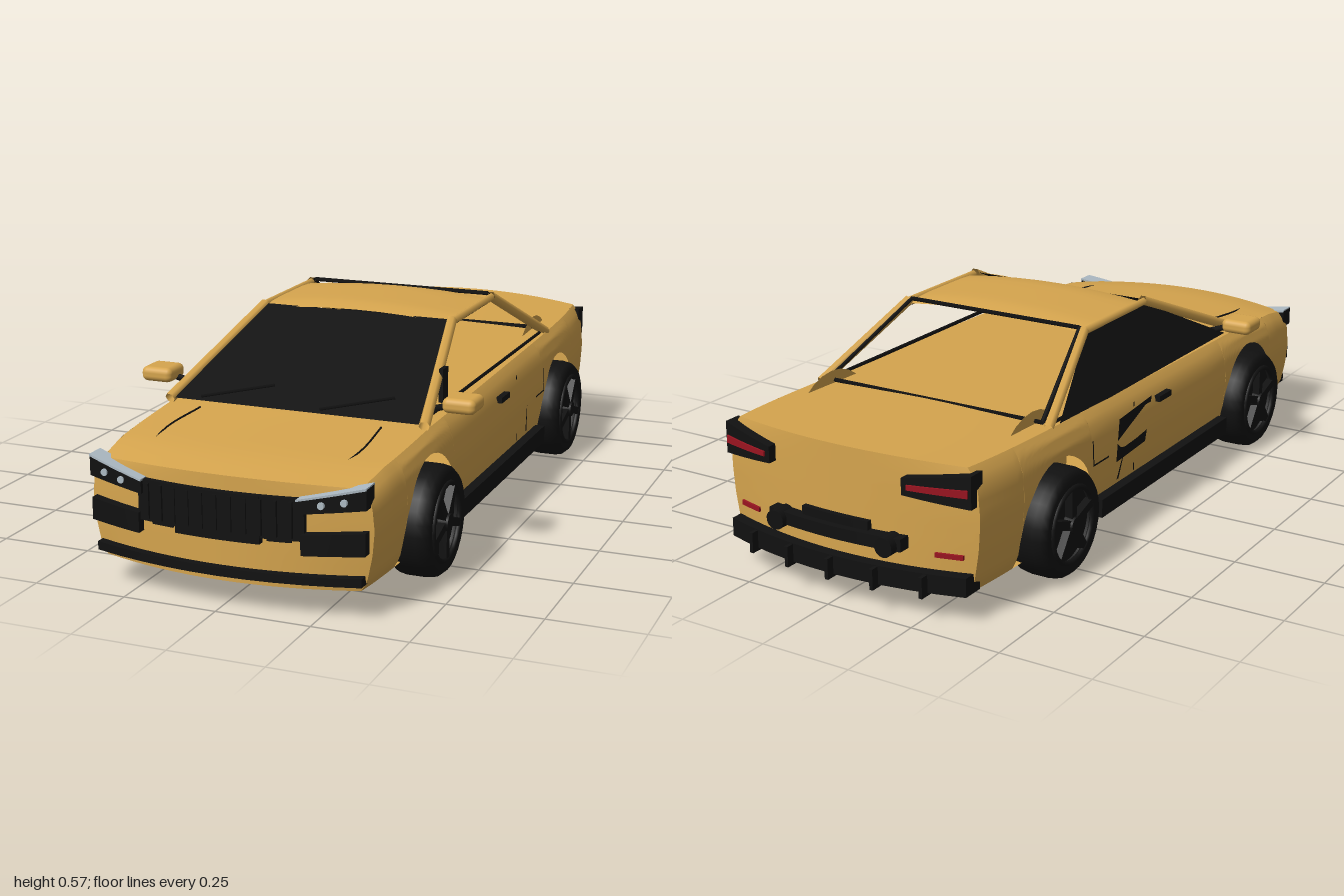
import * as THREE from 'three';
import { RoundedBoxGeometry } from 'three/addons/geometries/RoundedBoxGeometry.js';

const V = (x, y, z) => new THREE.Vector3(x, y, z);
const FRONT = 0.91, REAR = -0.89, FLOOR = 0.07, ARCH = 0.165, AXLE_Y = 0.15;
const AXLES = [-0.55, 0.57];

// piecewise linear lookup
function lookup(table, v) {
  if (v <= table[0][0]) return table[0][1];
  for (let i = 1; i < table.length; i++) {
    const [a, p] = table[i - 1], [b, q] = table[i];
    if (v <= b) return p + (q - p) * (v - a) / (b - a);
  }
  return table[table.length - 1][1];
}
const DECK = [[-0.89, 0.395], [-0.5, 0.385], [0, 0.375], [0.5, 0.365], [0.8, 0.345], [0.91, 0.325]];
const SECTION = [[0, 0.91], [0.1, 0.95], [0.35, 0.985], [0.6, 1], [0.82, 0.985], [0.93, 0.955], [1, 0.91]];
const deckY = z => lookup(DECK, z);
const halfWidth = z => 0.4 - 0.04 * Math.abs(z) ** 6;
const bow = z => Math.sign(z) * 0.06 * THREE.MathUtils.smoothstep(Math.abs(z), 0.5, 0.9);

// body surface: u across, t from floor to deck, z along
function bodyPoint(u, t, z) {
  const k = 1 - u * u;
  return V(u * halfWidth(z) * lookup(SECTION, t), FLOOR + t * (deckY(z) + 0.012 * k - FLOOR), z + bow(z) * k);
}
const sideX = (z, y) => halfWidth(z) * lookup(SECTION, (y - FLOOR) / (deckY(z) - FLOOR));
const endZ = (x, s) => (s > 0 ? FRONT : REAR) + s * 0.06 * (1 - Math.min(1, (x / 0.375) ** 2));

// grid of points, smooth inside
function grid(nu, nv, point) {
  const pos = [], idx = [];
  for (let i = 0; i <= nu; i++) for (let j = 0; j <= nv; j++) pos.push(...point(i, j).toArray());
  for (let i = 0; i < nu; i++) for (let j = 0; j < nv; j++) {
    const a = i * (nv + 1) + j, b = a + nv + 1;
    idx.push(a, b, b + 1, a, b + 1, a + 1);
  }
  const g = new THREE.BufferGeometry();
  g.setAttribute('position', new THREE.Float32BufferAttribute(pos, 3));
  g.setIndex(idx);
  g.computeVertexNormals();
  return g;
}
const quad = (a, b, c, d) => grid(1, 1, (i, j) => (i ? (j ? c : b) : (j ? d : a)));

export function createModel() {
  const car = new THREE.Group();
  car.name = 'car';
  const material = (name, color) => {
    const m = new THREE.MeshStandardMaterial({ color, side: THREE.DoubleSide });
    m.name = name;
    return m;
  };
  const gold = material('gold paint', 0xd6a54e), black = material('black trim', 0x111111);
  const red = material('red lamp', 0x9a1420), silver = material('silver', 0xaebbc4);
  const add = (name, geometry, mat, parent = car) => {
    const m = new THREE.Mesh(geometry, mat);
    m.name = name;
    parent.add(m);
    return m;
  };
  const bar = (name, pts, r, mat, sides = 6) =>
    add(name, new THREE.TubeGeometry(new THREE.CatmullRomCurve3(pts), pts.length > 2 ? 12 : 1, r, sides), mat);
  const box = (name, w, h, d, x, y, z, mat) =>
    add(name, new THREE.BoxGeometry(w, h, d), mat).position.set(x, y, z);

  // body shell
  const NZ = 40, NU = 16, NT = 16;
  const along = i => REAR + (FRONT - REAR) * i / NZ;
  add('hoodAndDeck', grid(NZ, NU, (i, j) => bodyPoint(1 - 2 * j / NU, 1, along(i))), gold);
  add('floor', grid(NZ, NU, (i, j) => bodyPoint(2 * j / NU - 1, 0, along(i))), gold);
  add('frontFascia', grid(NU, NT, (i, j) => bodyPoint(2 * i / NU - 1, j / NT, FRONT)), gold);
  add('rearFascia', grid(NU, NT, (i, j) => bodyPoint(1 - 2 * i / NU, j / NT, REAR)), gold);

  // sides, with the lower edge following the wheel arches
  const stations = [];
  let from = REAR;
  for (const c of [...AXLES, null]) {
    const to = c === null ? FRONT : c - ARCH;
    for (let i = 0; i <= 8; i++) stations.push([from + (to - from) * i / 8, FLOOR]);
    if (c === null) break;
    for (let i = 0; i <= 20; i++) {
      const a = Math.PI * (1 - i / 20);
      stations.push([c + ARCH * Math.cos(a), AXLE_Y + ARCH * Math.sin(a)]);
    }
    from = c + ARCH;
  }
  for (const s of [1, -1]) {
    add(s > 0 ? 'leftSide' : 'rightSide', grid(stations.length - 1, NT, (i, j) => {
      const [z, low] = stations[i], t0 = (low - FLOOR) / (deckY(z) - FLOOR);
      return bodyPoint(s, t0 + (1 - t0) * j / NT, z);
    }), gold);
  }

  // roof and cabin frame
  const roofY = u => 0.553 + 0.017 * (1 - u * u);
  add('roof', grid(8, 8, (i, j) => {
    const u = 1 - j / 4, v = i / 8;
    return V(u * 0.283, roofY(u) - 0.012 * (2 * v - 1) ** 6, -0.235 + 0.345 * v);
  }), gold);
  add('windscreen', quad(V(-0.345, 0.378, 0.53), V(0.345, 0.378, 0.53), V(0.27, 0.553, 0.105), V(-0.27, 0.553, 0.105)), black);
  add('rightSideGlass', quad(V(-0.365, 0.38, -0.5), V(-0.365, 0.375, 0.46), V(-0.283, 0.548, 0.09), V(-0.283, 0.548, -0.22)), black);
  for (const s of [1, -1]) {
    bar('frontPillar', [V(s * 0.36, 0.375, 0.53), V(s * 0.279, 0.55, 0.1)], 0.015, gold);
    bar('rearPillar', [V(s * 0.358, 0.385, -0.54), V(s * 0.282, 0.55, -0.23)], 0.014, gold);
    bar('roofRail', [V(s * 0.283, 0.548, 0.1), V(s * 0.283, 0.548, -0.23)], 0.011, gold);
    bar('rearWindowSeal', [V(s * 0.337, 0.395, -0.535), V(s * 0.27, 0.557, -0.232)], 0.007, black, 4);
    bar('sideWindowSeal', [V(s * 0.35, 0.385, 0.48), V(s * 0.35, 0.388, -0.5)], 0.006, black, 4);
    bar('roofSeal', [V(s * 0.28, 0.54, 0.09), V(s * 0.28, 0.54, -0.22)], 0.007, black, 4);
    bar('wiper', [V(s * 0.17 - 0.1, 0.388, 0.525), V(s * 0.17 + 0.08, 0.418, 0.45)], 0.004, black, 4);
    bar('hoodSeam', [[0.255, 0.56], [0.268, 0.72], [0.248, 0.88]].map(([x, z]) =>
      V(s * x, deckY(z) + 0.012 * (1 - (x / halfWidth(z)) ** 2) + 0.001, z)), 0.003, black, 4);
    // door mirror
    add('mirror', new RoundedBoxGeometry(0.09, 0.04, 0.09, 3, 0.016), gold).position.set(s * 0.43, 0.418, 0.435);
    bar('mirrorArm', [V(s * 0.34, 0.39, 0.42), V(s * 0.395, 0.408, 0.43)], 0.009, black);
  }
  bar('rearWindowSealTop', [V(-0.27, 0.557, -0.235), V(0.27, 0.557, -0.235)], 0.006, black, 4);
  bar('rearWindowSealBottom', [V(-0.337, 0.396, -0.535), V(0.337, 0.396, -0.535)], 0.006, black, 4);
  box('quarterWindowPost', 0.012, 0.09, 0.04, 0.335, 0.43, 0.32, black);

  // plates wrapped on the nose (s = 1) or tail (s = -1); edges given at x0 and x1
  function wrap(name, s, x0, x1, [b0, b1], [t0, t1], depth, mat, lift = 0) {
    const g = new THREE.BoxGeometry(1, 1, 1, 10, 1, 1), p = g.attributes.position;
    for (let i = 0; i < p.count; i++) {
      const k = p.getX(i) + 0.5, x = x0 + (x1 - x0) * k;
      const y = p.getY(i) < 0 ? b0 + (b1 - b0) * k : t0 + (t1 - t0) * k;
      p.setXYZ(i, x, y, endZ(x, s) + s * lift + p.getZ(i) * depth);
    }
    g.computeVertexNormals();
    return add(name, g, mat);
  }

  // nose
  wrap('grille', 1, -0.22, 0.22, [0.195, 0.195], [0.3, 0.3], 0.03, black);
  wrap('grilleCentre', 1, -0.112, 0.112, [0.18, 0.18], [0.3, 0.3], 0.036, black);
  for (let i = -5; i <= 5; i++) box('grilleSlat', 0.008, 0.09, 0.012, i * 0.038, 0.248, endZ(i * 0.038, 1) + 0.016, black);
  wrap('frontSplitter', 1, -0.355, 0.355, [0.088, 0.088], [0.11, 0.11], 0.04, black);
  for (const s of [1, -1]) {
    wrap('headlight', 1, s * 0.205, s * 0.368, [0.265, 0.282], [0.297, 0.333], 0.05, black);
    wrap('headlightStrip', 1, s * 0.205, s * 0.368, [0.297, 0.331], [0.302, 0.337], 0.054, silver);
    for (const [x, y] of [[0.265, 0.291], [0.318, 0.3]]) {
      const lamp = add('headlightLamp', new THREE.CylinderGeometry(0.009, 0.009, 0.008, 10), silver);
      lamp.rotation.x = Math.PI / 2;
      lamp.position.set(s * x, y, endZ(x, 1) + 0.027);
    }
    wrap('frontIntake', 1, s * 0.215, s * 0.365, [0.163, 0.168], [0.215, 0.225], 0.05, black);
    wrap('bumperVent', 1, s * 0.125, s * 0.185, [0.186, 0.186], [0.192, 0.194], 0.01, black);

    // tail lamps and reflectors
    wrap('tailLamp', -1, s * 0.2, s * 0.372, [0.318, 0.3], [0.362, 0.385], 0.05, black);
    wrap('tailLampStrip', -1, s * 0.215, s * 0.365, [0.334, 0.33], [0.347, 0.35], 0.008, red, 0.026);
    wrap('reflector', -1, s * 0.27, s * 0.34, [0.16, 0.16], [0.172, 0.172], 0.012, red);
    const pipe = add('exhaust', new THREE.CylinderGeometry(0.026, 0.026, 0.05, 14), black);
    pipe.rotation.x = Math.PI / 2;
    pipe.position.set(s * 0.165, 0.185, -0.965);
  }
  // rear bumper
  wrap('rearBumperBar', -1, -0.2, 0.2, [0.172, 0.172], [0.205, 0.205], 0.05, black, 0.008);
  wrap('plateRecess', -1, -0.1, 0.1, [0.185, 0.185], [0.228, 0.228], 0.03, black);
  wrap('diffuser', -1, -0.36, 0.36, [0.075, 0.075], [0.125, 0.125], 0.06, black);
  for (let i = -2; i <= 2; i++) box('diffuserFin', 0.01, 0.055, 0.08, i * 0.13, 0.095, endZ(i * 0.13, -1) - 0.012, black);

  // side details laid on the body; corners as [z, y]
  const sidePlate = (name, s, pts) => add(name, quad(...pts.map(([z, y]) => V(s * (sideX(z, y) + 0.004), y, z))), black);
  const rect = (z0, z1, y0, y1) => [[z0, y0], [z1, y0], [z1, y1], [z0, y1]];
  for (const s of [1, -1]) {
    box('sideSkirt', 0.05, 0.05, 0.75, s * 0.39, 0.115, 0.015, black);
    box('doorHandle', 0.02, 0.016, 0.07, s * 0.398, 0.32, 0.005, black);
    sidePlate('doorSeam', s, rect(-0.15, -0.145, 0.15, 0.345));
    sidePlate('fuelFlapBottom', s, rect(-0.385, -0.305, 0.24, 0.245));
    sidePlate('fuelFlapEdge', s, rect(-0.387, -0.382, 0.24, 0.31));
    sidePlate('doorCrease', s, [[-0.245, 0.155], [-0.235, 0.155], [-0.215, 0.24], [-0.218, 0.24]]);
  }
  sidePlate('doorPatch', -1, [[-0.26, 0.21], [-0.1, 0.22], [-0.05, 0.335], [-0.24, 0.325]]);

  // wheels
  const R = 0.145;
  const tyreProfile = [[0.1, 0.055], [0.128, 0.06], [0.141, 0.045], [R, 0.025], [R, -0.025], [0.141, -0.045], [0.128, -0.06], [0.1, -0.055]]
    .map(([r, y]) => new THREE.Vector2(r, y));
  for (const z of AXLES) for (const s of [1, -1]) {
    const wheel = new THREE.Group();
    wheel.name = z > 0 ? 'frontWheel' : 'rearWheel';
    wheel.position.set(s * 0.38, R, z);
    wheel.rotation.z = -s * Math.PI / 2;
    add('tyre', new THREE.LatheGeometry(tyreProfile, 28), black, wheel);
    add('rimDish', new THREE.CylinderGeometry(0.102, 0.102, 0.08, 28), black, wheel);
    const lip = add('rimLip', new THREE.TorusGeometry(0.1, 0.007, 6, 28), black, wheel);
    lip.rotation.x = Math.PI / 2;
    lip.position.y = 0.056;
    add('hub', new THREE.CylinderGeometry(0.022, 0.026, 0.03, 12), black, wheel).position.y = 0.052;
    for (let i = 0; i < 5; i++) {
      const a = i * Math.PI * 2 / 5, spoke = add('spoke', new THREE.BoxGeometry(0.085, 0.022, 0.022), black, wheel);
      spoke.position.set(Math.cos(a) * 0.055, 0.05, Math.sin(a) * 0.055);
      spoke.rotation.y = -a;
    }
    car.add(wheel);
    // rear wheel well lining
    if (z < 0) {
      const well = add('wheelWell', new THREE.CircleGeometry(0.175, 28, 0, Math.PI * 2), gold);
      well.rotation.y = s * Math.PI / 2;
      well.position.set(s * 0.315, 0.25, z);
    }
  }
  return car;
}
